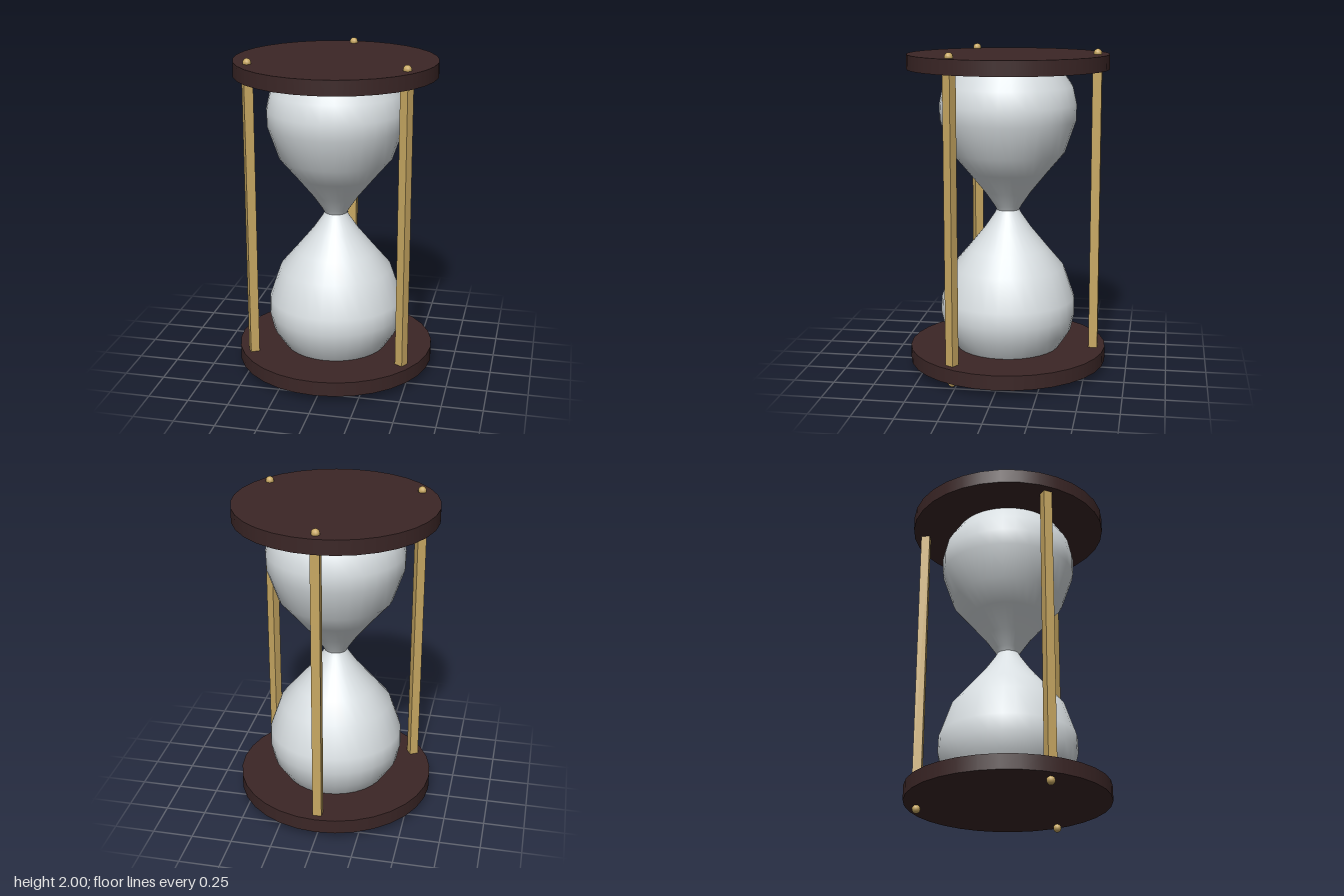
import * as THREE from 'three';

export function createModel() {
  const model = new THREE.Group();
  model.name = 'hourglass';

  const wood = new THREE.MeshStandardMaterial({ name: 'dark wood', color: 0x3b2626 });
  const brass = new THREE.MeshStandardMaterial({ name: 'brass', color: 0xc8a862 });
  const glass = new THREE.MeshStandardMaterial({ name: 'pale glass', color: 0xd9dfe2, side: THREE.DoubleSide });

  const add = (name, geometry, material, x, y, z) => {
    const mesh = new THREE.Mesh(geometry, material);
    mesh.name = name;
    mesh.position.set(x, y, z);
    model.add(mesh);
    return mesh;
  };

  // Round end plates
  const plate = new THREE.CylinderGeometry(0.615, 0.615, 0.09, 32);
  add('bottomPlate', plate, wood, 0, 0.093, 0);
  add('topPlate', plate, wood, 0, 1.921, 0);

  // Two mirrored bulbs meeting at the neck
  const middle = 1.007;
  const profile = [
    [0.325, 0.135], [0.397, 0.243], [0.421, 0.35], [0.418, 0.45], [0.35, 0.647],
    [0.25, 0.765], [0.145, 0.893], [0.085, 0.98], [0.07, middle],
  ].map(([r, y]) => new THREE.Vector2(r, y));
  const mirrored = profile.map(p => new THREE.Vector2(p.x, 2 * middle - p.y)).reverse();
  add('lowerBulb', new THREE.LatheGeometry(profile, 32), glass, 0, 0, 0);
  add('upperBulb', new THREE.LatheGeometry(mirrored, 32), glass, 0, 0, 0);

  // Three square posts, each with a ball at both ends
  const post = new THREE.BoxGeometry(0.055, 1.78, 0.055);
  const ball = new THREE.SphereGeometry(0.026, 10, 8);
  for (let i = 0; i < 3; i++) {
    const angle = Math.PI + i * Math.PI * 2 / 3;
    const x = Math.sin(angle) * 0.542;
    const z = Math.cos(angle) * 0.542;
    add('post', post, brass, x, middle, z).rotation.y = angle;
    add('bottomBall', ball, brass, x, 0.026, z);
    add('topBall', ball, brass, x, 1.974, z);
  }
  return model;
}
